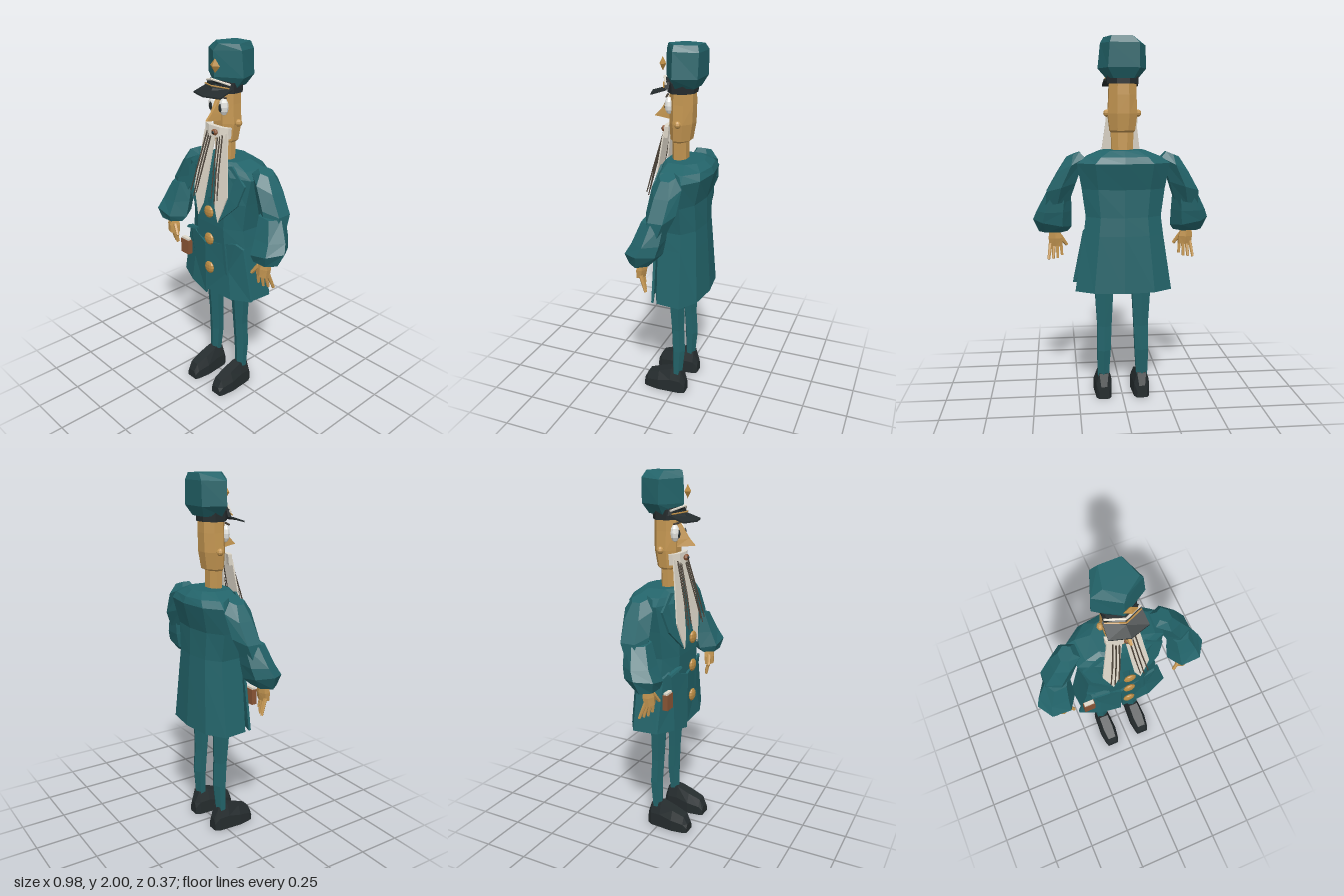
import * as THREE from 'three';

const mat = (name, color, side = THREE.FrontSide) => Object.assign(
  new THREE.MeshStandardMaterial({ color, flatShading: true, side }), { name });

// Closed skin through rings of [x, y, z] points, always turned outward
function loft(rings, capStart = true, capEnd = true) {
  const tris = [], n = rings[0].length;
  const mid = r => [0, 1, 2].map(k => r.reduce((s, p) => s + p[k], 0) / n);
  const first = rings[0], last = rings[rings.length - 1];
  for (let i = 0; i < n; i++) {
    const j = (i + 1) % n;
    for (let r = 0; r < rings.length - 1; r++) {
      const a = rings[r], b = rings[r + 1];
      tris.push([a[i], b[i], a[j]], [a[j], b[i], b[j]]);
    }
    if (capStart) tris.push([mid(first), first[i], first[j]]);
    if (capEnd) tris.push([mid(last), last[j], last[i]]);
  }
  const c = mid(first);
  let volume = 0;
  for (const t of tris) {
    const [p, q, s] = t.map(v => new THREE.Vector3(v[0] - c[0], v[1] - c[1], v[2] - c[2]));
    volume += p.dot(q.cross(s));
  }
  if (volume < 0) tris.forEach(t => t.reverse());
  const g = new THREE.BufferGeometry();
  g.setAttribute('position', new THREE.Float32BufferAttribute(tris.flat(2), 3));
  g.computeVertexNormals();
  return g;
}

// Elliptical ring; tilt raises the outer edge
function ring(y, cx, cz, rx, rz, n = 6, tilt = 0, turn = Math.PI / n) {
  return Array.from({ length: n }, (_, i) => {
    const a = i / n * Math.PI * 2 + turn, dx = Math.cos(a) * rx;
    return [cx + dx, y + tilt * dx, cz + Math.sin(a) * rz];
  });
}
const flip = (pts, s) => pts.map(([x, y, z]) => [x * s, y, z]);
const slab = (pts, depth) => loft([pts.map(([x, y, z]) => [x, y, z - depth]), pts]);

export function createModel() {
  const model = new THREE.Group();
  const teal = mat('uniform teal', 0x23646a, THREE.DoubleSide);
  const skin = mat('skin', 0xc59752);
  const gold = mat('brass', 0xbd8d45);
  const black = mat('black leather', 0x252c2e);
  const cream = mat('cream hair', 0xe0d9cb);
  const white = mat('eye white', 0xe6e6e2);
  const brown = mat('brown leather', 0x8a5535);
  const umber = mat('dark strands', 0x4b4238);

  const add = (name, geo, material, x = 0, y = 0, z = 0) => {
    const m = new THREE.Mesh(geo, material);
    m.name = name;
    m.position.set(x, y, z);
    model.add(m);
    return m;
  };
  const ball = (name, material, p, s, w = 10, h = 6) =>
    add(name, new THREE.SphereGeometry(1, w, h), material, ...p).scale.set(...s);
  const rod = (name, material, a, b, r1, r2) => {
    const A = new THREE.Vector3(...a), d = new THREE.Vector3(...b).sub(A);
    const m = add(name, new THREE.CylinderGeometry(r2, r1, d.length(), 6), material);
    m.position.copy(A).addScaledVector(d, 0.5);
    m.quaternion.setFromUnitVectors(new THREE.Vector3(0, 1, 0), d.normalize());
  };

  // Coat, hollow at the hem: height, half width, front depth, back depth
  const coatRing = ([y, w, f, b]) => {
    const half = [[w * 0.5, y, f], [w * 0.95, y, f * 0.5], [w, y, b * 0.5], [w * 0.62, y, b * 0.88]];
    return [[0, y, f], ...half, [0, y, b], ...flip(half, -1).reverse()];
  };
  add('coat', loft([
    [0.64, 0.265, 0.1, -0.172], [0.95, 0.218, 0.112, -0.155], [1.05, 0.205, 0.115, -0.148],
    [1.2, 0.225, 0.112, -0.145], [1.34, 0.25, 0.09, -0.183], [1.375, 0.2, 0.08, -0.17],
    [1.407, 0.12, 0.065, -0.13],
  ].map(coatRing), false, true), teal);

  for (const s of [1, -1]) {
    const side = s > 0 ? 'left' : 'right';
    const M = pts => flip(pts, s);

    // Coat front: lapel and flared skirt panel
    add(side + 'Lapel', slab(M([[0.03, 1.37, 0.085], [0.12, 1.395, 0.07], [0.22, 1.31, 0.075],
      [0.19, 1.2, 0.1], [0.08, 1.09, 0.13], [0.015, 1.12, 0.13]]), 0.012), teal);
    add(side + 'SkirtPanel', slab(M([[s > 0 ? -0.03 : 0.03, 0.93, 0.128], [0.18, 0.98, 0.1],
      [0.215, 0.95, 0.075], [0.275, 0.655, 0.07], [0.16, 0.64, 0.115],
      [s > 0 ? -0.02 : 0.03, s > 0 ? 0.64 : 0.61, 0.125]]), 0.014), teal);

    // Sleeve: upper arm and wide lower sleeve
    add(side + 'UpperArm', loft([
      ring(1.12, 0.355, 0.0, 0.075, 0.06, 6, -0.2), ring(1.21, 0.335, -0.02, 0.092, 0.08, 6, -0.3),
      ring(1.33, 0.28, -0.03, 0.085, 0.08, 6, -0.5), ring(1.385, 0.27, -0.03, 0.04, 0.045, 6, -0.4),
    ].map(M)), teal);
    add(side + 'LowerSleeve', loft([
      ring(0.95, 0.38, 0.07, 0.08, 0.06, 6, 0, 0), ring(1.0, 0.385, 0.055, 0.107, 0.095, 6, 0.2, 0),
      ring(1.07, 0.375, 0.03, 0.097, 0.085, 6, 0, 0), ring(1.18, 0.35, 0.005, 0.068, 0.07, 6, -0.1, 0),
    ].map(M)), teal);

    // Hand with four fingers and a thumb
    add(side + 'Palm', loft([ring(0.865, 0.367, 0.08, 0.042, 0.025), ring(0.91, 0.37, 0.075, 0.044, 0.03),
      ring(0.97, 0.378, 0.07, 0.03, 0.025)].map(M)), skin);
    for (let i = 0; i < 4; i++) {
      const x = 0.34 + i * 0.019, low = 0.795 + (i === 0 ? 0.015 : 0);
      rod(side + 'Finger', skin, [s * x, 0.88, 0.085 - i * 0.005],
        [s * (x + (i - 1) * 0.006), low, 0.075 - i * 0.012], 0.011, 0.008);
    }
    rod(side + 'Thumb', skin, [s * 0.345, 0.92, 0.085], [s * 0.306, 0.865, 0.1], 0.013, 0.009);

    // Trouser leg and shoe
    add(side + 'Leg', loft([
      ring(0.12, 0.11, -0.018, 0.036, 0.028), ring(0.28, 0.107, -0.025, 0.044, 0.038),
      ring(0.42, 0.103, -0.018, 0.046, 0.038), ring(0.64, 0.104, -0.012, 0.06, 0.048),
      ring(0.78, 0.1, -0.012, 0.06, 0.05),
    ].map(M)), teal);
    const shoe = [[-0.07, 0.028, 0.07], [-0.045, 0.043, 0.14], [0.015, 0.047, 0.147],
      [0.09, 0.052, 0.12], [0.16, 0.042, 0.095], [0.182, 0.034, 0.05]];
    add(side + 'Shoe', loft(shoe.map(([z, w, h]) => M([
      [0.108 - w, 0, z], [0.108 - w, h * 0.55, z], [0.108 - w * 0.6, h, z],
      [0.108 + w * 0.6, h, z], [0.108 + w, h * 0.55, z], [0.108 + w, 0, z]]))), black);

    // Ear, eye, pupil
    ball(side + 'Ear', skin, [s * 0.085, 1.603, -0.01], [0.018, 0.02, 0.02], 8, 6);
    ball(side + 'Eye', white, [s * 0.04, 1.69, 0.052], [0.027, 0.046, 0.024]);
    ball(side + 'Pupil', black, [s * 0.036, 1.685, 0.073], [0.011, 0.022, 0.006], 8, 6);
    rod(side + 'Brow', umber, [s * 0.018, 1.742, 0.068], [s * 0.066, 1.738, 0.058], 0.006, 0.005);

    // Long forked beard with dark strands lying over it
    const hang = (x, y) => [x, y, 0.07 + (1.56 - y) * 0.135];
    add(side + 'Beard', slab(M([hang(0.004, 1.56), hang(0.085, 1.56), hang(0.13, 1.235),
      hang(0.078, 1.085), hang(0.045, 1.16)]), 0.008), cream);
    for (let i = 0; i < 3; i++) {
      const x1 = 0.024 + i * 0.017, x2 = 0.06 + i * 0.022, y2 = 1.2 + Math.abs(i - 1) * 0.025;
      rod(side + 'BeardStrand', umber, [s * x1, 1.55, 0.078], [s * (x1 + x2) / 2, 1.37, 0.126], 0.004, 0.004);
      rod(side + 'BeardStrand', umber, [s * (x1 + x2) / 2, 1.37, 0.126], [s * x2, y2, 0.16], 0.004, 0.003);
    }
  }

  // Head and neck
  add('head', loft([
    ring(1.38, 0, 0.004, 0.062, 0.042, 8), ring(1.5, 0, 0.004, 0.066, 0.042, 8),
    ring(1.51, 0, -0.002, 0.074, 0.058, 8), ring(1.6, 0, -0.008, 0.086, 0.068, 8),
    ring(1.7, 0, -0.01, 0.08, 0.07, 8), ring(1.8, 0, -0.01, 0.078, 0.068, 8),
  ]), skin);
  add('nose', loft([
    [[-0.022, 1.615, 0.05], [0.024, 1.615, 0.05], [0.016, 1.625, 0.145], [0.004, 1.625, 0.145]],
    [[-0.02, 1.65, 0.05], [0.022, 1.65, 0.05], [0.016, 1.66, 0.11], [0.002, 1.66, 0.11]],
    [[-0.008, 1.74, 0.045], [0.012, 1.74, 0.045], [0.007, 1.735, 0.065], [-0.003, 1.735, 0.065]],
  ]), skin);

  // Moustache bent round the face, with the mouth on it
  add('moustache', loft([[-0.088, 0.068], [-0.04, 0.086], [0.04, 0.086], [0.086, 0.068]].map(([x, z]) => [
    [x, 1.53, z], [x, 1.587, z - 0.006], [x, 1.587, z - 0.03], [x, 1.53, z - 0.024]])), cream);
  ball('lips', brown, [0.014, 1.56, 0.092], [0.02, 0.017, 0.014], 8, 6);
  ball('mouth', black, [0.014, 1.56, 0.103], [0.01, 0.008, 0.006], 8, 6);

  // Five-sided cap leaning to one side
  const capRing = (y, l, r, f, b, lift = 0) => [[(l + r) / 2, y, f], [r, y + lift, 0.003],
    [r * 0.64, y, b], [l * 0.64, y, b], [l, y - lift, 0.003]];
  add('cap', loft([
    capRing(1.785, -0.085, 0.085, 0.065, -0.09), capRing(1.838, -0.13, 0.132, 0.082, -0.117),
    capRing(1.965, -0.126, 0.118, 0.082, -0.12, 0.005), capRing(2.0, -0.07, 0.1, 0.065, -0.11),
  ]), teal);
  add('capBand', loft([ring(1.757, 0, -0.008, 0.09, 0.078, 8), ring(1.81, 0, -0.008, 0.092, 0.08, 8)]), black);
  add('capFront', slab([[-0.09, 1.78, 0.055], [0, 1.785, 0.095], [0.09, 1.78, 0.055],
    [0.075, 1.815, 0.055], [0, 1.825, 0.092], [-0.075, 1.815, 0.055]], 0.02), black);
  add('visor', loft([[0, 0], [0, -0.008]].map(([, d]) => [[-0.095, 1.785 + d, 0.045], [0, 1.79 + d, 0.085],
    [0.095, 1.785 + d, 0.045], [0.1, 1.757 + d, 0.13], [0, 1.757 + d, 0.16], [-0.1, 1.757 + d, 0.13]])), black);
  for (const s of [1, -1]) {
    rod('capTrim', cream, [0, 1.828, 0.094], [s * 0.088, 1.806, 0.05], 0.006, 0.006);
    rod('capCord', gold, [0, 1.797, 0.1], [s * 0.09, 1.79, 0.06], 0.004, 0.004);
  }
  add('capBadge', new THREE.OctahedronGeometry(1), gold, 0.022, 1.897, 0.093).scale.set(0.036, 0.036, 0.018);

  // Coat buttons
  for (const y of [1.13, 0.97, 0.795]) ball('button', gold, [0.013, y, 0.136], [0.035, 0.035, 0.014], 10, 6);

  // Small notebook in the right pocket
  add('notebook', new THREE.BoxGeometry(0.064, 0.085, 0.03), brown, -0.22, 0.832, 0.105);
  add('notebookPages', new THREE.BoxGeometry(0.056, 0.012, 0.022), cream, -0.22, 0.88, 0.105);
  add('pocketFlap', slab([[-0.2, 0.96, 0.115], [-0.1, 0.985, 0.13], [-0.1, 0.995, 0.125], [-0.2, 0.972, 0.11]], 0.02), teal);

  return model;
}
